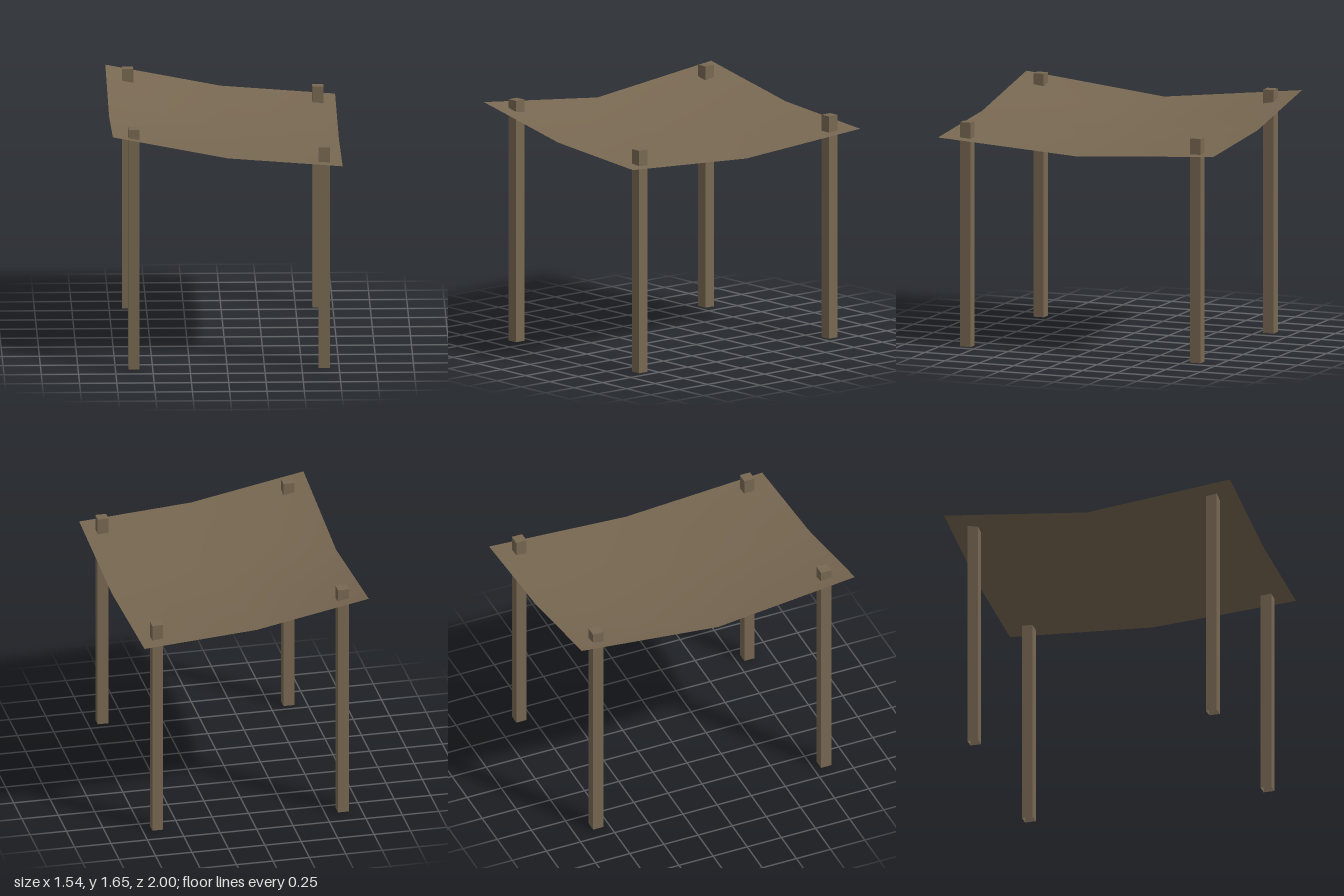
import * as THREE from 'three';

const wood = new THREE.MeshStandardMaterial({ color: 0x786852, side: THREE.DoubleSide });
wood.name = 'weathered brown';

// Square post standing on the ground, open underneath
function makePost(x, z, height) {
  const geometry = new THREE.BoxGeometry(0.075, height, 0.075);
  const index = Array.from(geometry.index.array);
  index.splice(18, 6); // drop the bottom face
  geometry.setIndex(index);
  geometry.clearGroups();
  const post = new THREE.Mesh(geometry, wood);
  post.position.set(x, height / 2, z);
  return post;
}

// Sagging cloth: a 3 x 3 net of points with a slack point inside each quarter
function makeCanopy() {
  const xs = [-0.77, 0, 0.77];
  const zs = [-1, 0, 1];
  const edge = [1.635, 1.485, 1.425];
  const middle = [1.525, 1.412, 1.363];
  const points = [];
  zs.forEach((z) => xs.forEach((x, i) => points.push(x, (z === 0 ? middle : edge)[i], z)));
  // Slack points, back row then front row
  points.push(-0.43, 1.457, -0.42, 0.38, 1.395, -0.42);
  points.push(-0.43, 1.485, 0.42, 0.38, 1.405, 0.42);

  const index = [];
  for (let row = 0; row < 2; row++) {
    for (let col = 0; col < 2; col++) {
      const a = row * 3 + col;
      const ring = [a, a + 3, a + 4, a + 1];
      const slack = 9 + row * 2 + col;
      ring.forEach((p, i) => index.push(slack, p, ring[(i + 1) % 4]));
    }
  }
  const geometry = new THREE.BufferGeometry();
  geometry.setAttribute('position', new THREE.Float32BufferAttribute(points, 3));
  geometry.setIndex(index);
  geometry.computeVertexNormals();
  return new THREE.Mesh(geometry, wood);
}

export function createModel() {
  const model = new THREE.Group();
  model.name = 'canopyShelter';

  const canopy = makeCanopy();
  canopy.name = 'canopy';
  model.add(canopy);

  // Tall posts on one side, shorter posts on the other
  for (const [side, x, height] of [['Right', -0.625, 1.655], ['Left', 0.65, 1.525]]) {
    for (const [end, z] of [['front', 0.837], ['back', -0.832]]) {
      const post = makePost(x, z, height);
      post.name = `${end}${side}Post`;
      model.add(post);
    }
  }
  return model;
}
